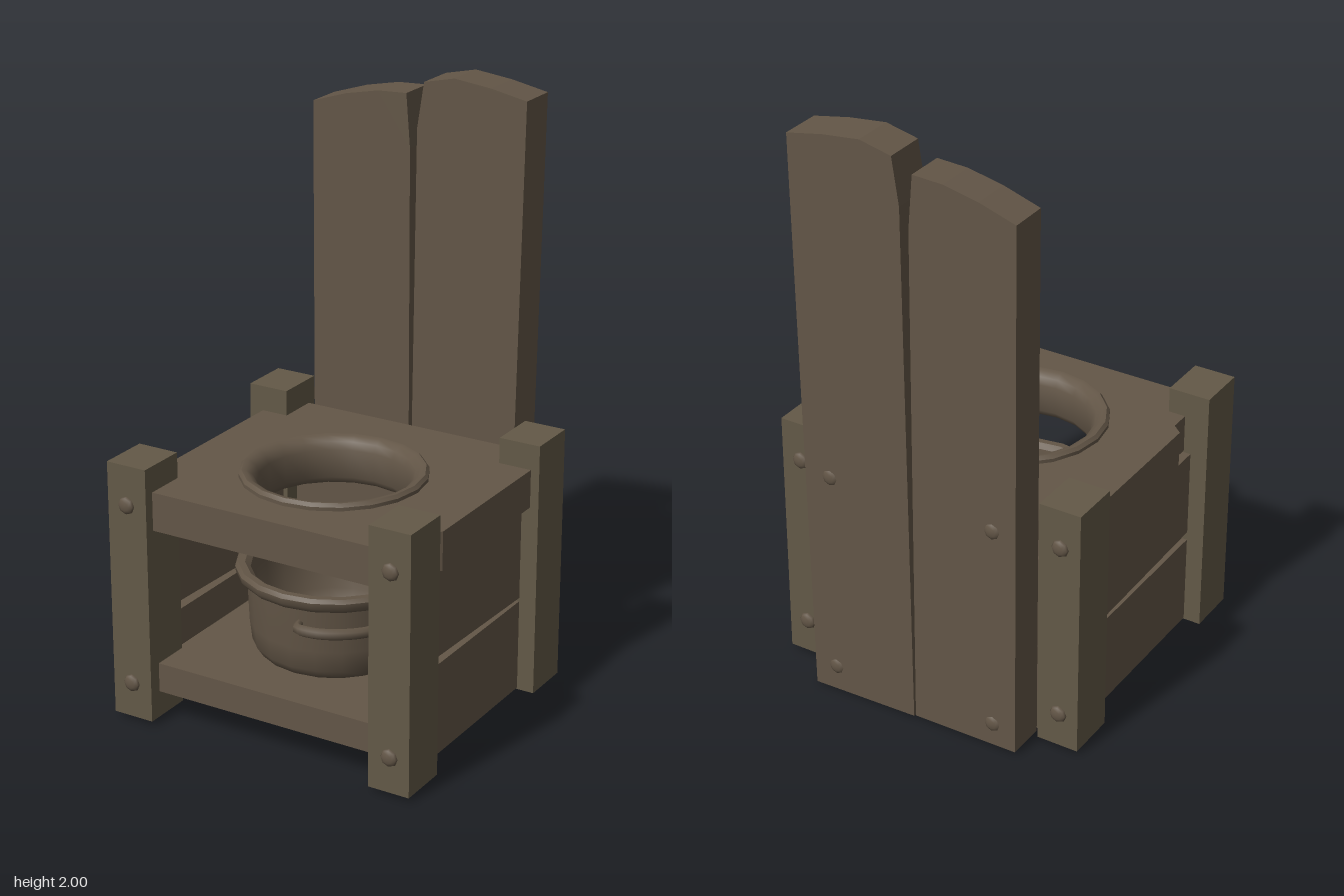
import * as THREE from 'three';
import { toCreasedNormals } from 'three/addons/utils/BufferGeometryUtils.js';

const mat = (name, color) => new THREE.MeshStandardMaterial({ name, color });

export function createModel() {
  const model = new THREE.Group();
  model.name = 'woodenChair';
  const wood = mat('brown wood', 0x635647);
  const postWood = mat('olive brown wood', 0x635947);
  const metal = mat('dull brown metal', 0x625546);

  const add = (name, geometry, material, x = 0, y = 0, z = 0) => {
    const mesh = new THREE.Mesh(geometry, material);
    mesh.name = name;
    mesh.position.set(x, y, z);
    model.add(mesh);
    return mesh;
  };

  // Box given by its lower and upper corners
  const box = (name, material, [x0, y0, z0], [x1, y1, z1]) =>
    add(name, new THREE.BoxGeometry(x1 - x0, y1 - y0, z1 - z0), material,
      (x0 + x1) / 2, (y0 + y1) / 2, (z0 + z1) / 2);

  const outline = pts => new THREE.Shape(pts.map(p => new THREE.Vector2(...p)));
  const board = (pts, depth) =>
    new THREE.ExtrudeGeometry(outline(pts), { depth, bevelEnabled: false });

  // Low domed bolt heads, facing front (1) or back (-1)
  const bolt = (x, y, z, facing) => {
    const g = new THREE.SphereGeometry(0.03, 8, 3, 0, Math.PI * 2, 0, Math.PI / 2);
    g.scale(1, 0.5, 1);
    g.rotateX(facing * Math.PI / 2);
    add('bolt', g, metal, x, y, z);
  };

  // Four corner posts with bolts
  for (const s of [-1, 1]) {
    const x0 = s < 0 ? -0.55 : 0.405;
    box('frontPost', postWood, [x0, 0.015, 0.37], [x0 + 0.145, 0.89, 0.545]);
    box('backPost', postWood, [x0, 0.015, -0.445], [x0 + 0.145, 0.89, -0.27]);
    for (const y of [0.755, 0.135]) {
      bolt(s * 0.48, y, 0.545, 1);
      bolt(s * 0.48, y, -0.445, -1);
    }
  }

  // Seat slab with notched sides and a round hole
  const seatShape = outline([
    [-0.5, -0.41], [0.52, -0.41], [0.52, 0.3], [0.49, 0.33], [0.49, 0.51],
    [-0.465, 0.51], [-0.465, 0.3], [-0.5, 0.27],
  ]);
  const hole = new THREE.Path();
  hole.absarc(0, 0.082, 0.295, 0, Math.PI * 2, true);
  seatShape.holes.push(hole);
  const seat = new THREE.ExtrudeGeometry(seatShape, { depth: 0.13, bevelEnabled: false, curveSegments: 10 });
  seat.rotateX(Math.PI / 2);
  add('seat', seat, wood, 0, 0.803, 0);

  // Turned profile, listed counterclockwise as radius and height
  const turned = pts => toCreasedNormals(
    new THREE.LatheGeometry(pts.map(p => new THREE.Vector2(...p)), 20), 0.7);

  // Rounded ring lining the seat hole
  add('seatRing', turned([
    [0.245, 0.69], [0.26, 0.667], [0.29, 0.657], [0.305, 0.665], [0.305, 0.815],
    [0.295, 0.826], [0.28, 0.824], [0.26, 0.81], [0.247, 0.785], [0.245, 0.69],
  ]), wood, 0, 0, 0.082);

  // Shelf under the seat
  box('shelf', wood, [-0.43, 0.105, -0.33], [0.43, 0.205, 0.5]);

  // Side boards with a slightly tapering gap
  for (const x of [-0.49, 0.42]) {
    const lower = board([[-0.42, 0.02], [0.45, 0.02], [0.45, 0.334], [-0.42, 0.334]], 0.07);
    const upper = board([[-0.42, 0.342], [0.45, 0.366], [0.45, 0.668], [-0.42, 0.658]], 0.07);
    for (const [name, g] of [['lowerSideBoard', lower], ['upperSideBoard', upper]]) {
      g.rotateY(-Math.PI / 2);
      add(name, g, wood, x + 0.07, 0, 0);
    }
  }

  // Back boards behind the shelf
  box('lowerBackBoard', wood, [-0.43, 0.018, -0.41], [0.43, 0.333, -0.33]);
  add('upperBackBoard', board([[-0.43, 0.34], [0.43, 0.362], [0.43, 0.67], [-0.43, 0.66]], 0.08),
    wood, 0, 0, -0.41);

  // Two tall backrest planks with worn, rounded tops
  add('rightBackPlank', board([
    [-0.385, 0.012], [-0.012, 0.008], [-0.02, 1.75], [-0.035, 1.93],
    [-0.14, 1.925], [-0.26, 1.9], [-0.385, 1.86],
  ], 0.132), wood, 0, 0, -0.548);
  add('leftBackPlank', board([
    [-0.01, 0.01], [0.37, 0], [0.398, 1.96], [0.27, 1.985], [0.14, 2],
    [0.03, 1.975], [0.006, 1.82],
  ], 0.14), wood, 0, 0, -0.555);
  for (const y of [0.81, 0.09]) {
    bolt(-0.3, y, -0.542, -1);
    bolt(0.29, y, -0.548, -1);
  }

  // Round pot with a rolled rim, standing on the shelf
  const potX = 0.018, potZ = 0.105;
  add('pot', turned([
    [0, 0.206], [0.225, 0.206], [0.25, 0.22], [0.27, 0.25], [0.278, 0.32], [0.284, 0.465],
    [0.305, 0.472], [0.32, 0.49], [0.322, 0.508], [0.312, 0.52], [0.29, 0.52],
    [0.272, 0.505], [0.265, 0.46], [0.255, 0.3], [0.225, 0.25], [0.185, 0.235], [0, 0.235],
  ]), metal, potX, 0, potZ);

  // Curved handles on opposite sides of the pot
  for (const turn of [0.61, 0.61 + Math.PI]) {
    const path = new THREE.CatmullRomCurve3(
      [[-0.48, 0.275], [-0.46, 0.305], [-0.25, 0.322], [0, 0.325], [0.25, 0.322], [0.46, 0.305], [0.48, 0.275]]
        .map(([a, r]) => new THREE.Vector3(Math.sin(a) * r, 0, Math.cos(a) * r)));
    const g = new THREE.TubeGeometry(path, 24, 0.015, 6);
    g.scale(1, 1.3, 1);
    add('potHandle', g, metal, potX, 0.408, potZ).rotation.y = turn;
  }

  return model;
}
